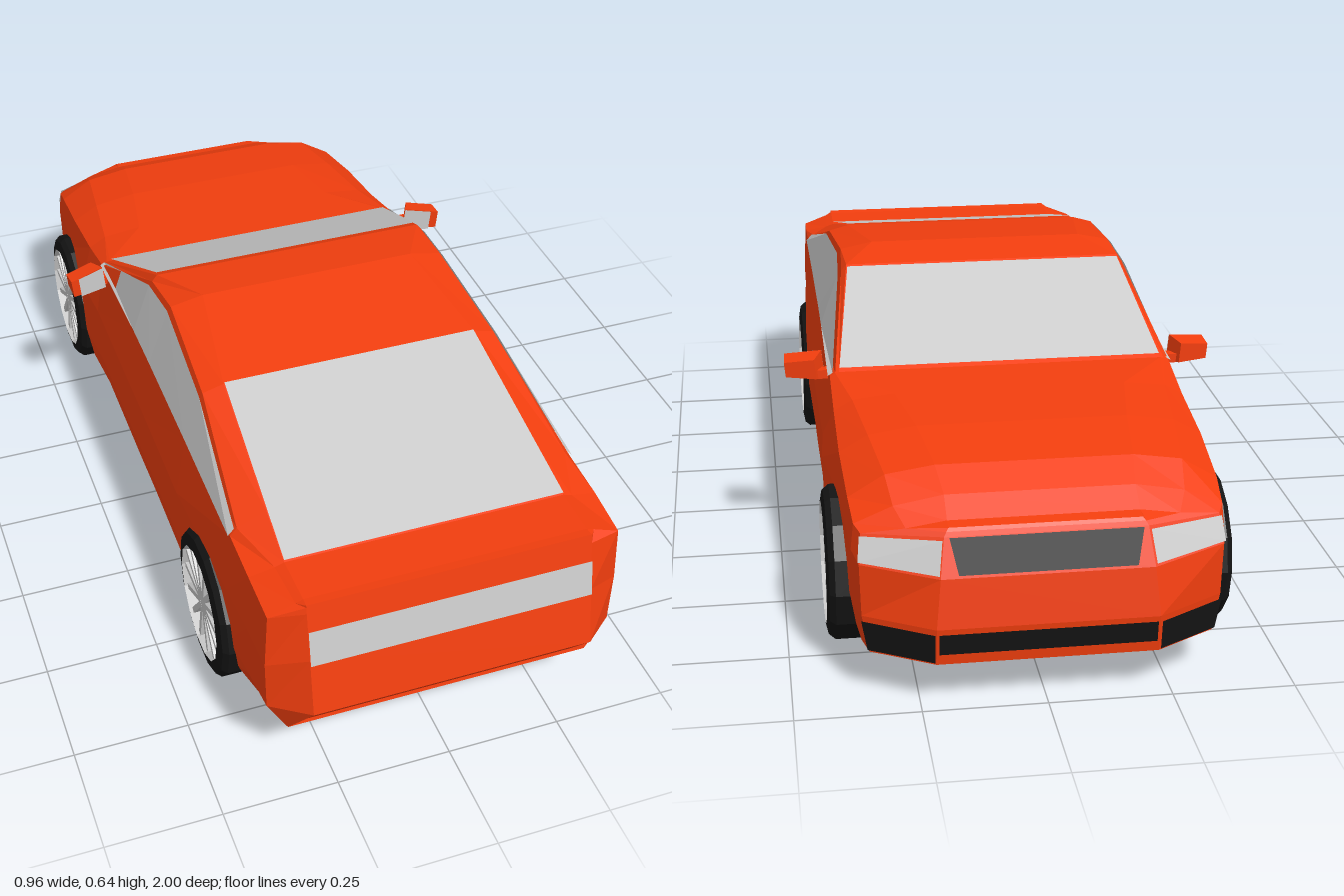
import * as THREE from 'three';

const mat = (color) => new THREE.MeshStandardMaterial({ color, flatShading: true, side: THREE.DoubleSide });
const paint = mat(0xf23e0e), black = mat(0x141414), grey = mat(0xcccccc);
const V = (x, y, z) => new THREE.Vector3(x, y, z);
const flip = (p) => V(-p.x, p.y, p.z);

// Half cross-section, floor to roof: lower points follow from the half width w,
// with the floor rising and narrowing behind the rear wheels
function section(z, w, beltY, edgeX, edgeY, topX, topY) {
  const rise = Math.max(0, z - 0.72) * 0.15;
  return [
    V(w - .017 - rise, .1 + rise, z), V(w - .003, .18 + rise, z), V(w, Math.min(.33, beltY - .055), z),
    V(Math.min(.38, w - .006), beltY, z), V(edgeX, edgeY, z), V(topX, topY, z),
  ];
}

// Stations along the car: z, half width, belt height, roof edge x and y, roof top x and y
const stations = [
  [0.93, .384, .46, .32, .482, .304, .488],
  [0.82, .386, .47, .325, .48, .305, .487],
  [0.70, .392, .475, .365, .492, .302, .521],
  [0.38, .405, .475, .337, .592, .29, .605],
  [0.10, .402, .475, .325, .625, .25, .64],
  [-0.03, .402, .475, .332, .61, .32, .625],
  [-0.34, .4, .465, .368, .472, .36, .474],
  [-0.47, .408, .435, .34, .458, .25, .468],
  [-0.64, .389, .41, .32, .445, .22, .46],
  [-0.80, .38, .38, .3, .425, .2, .44],
  [-0.87, .374, .355, .29, .388, .19, .406],
  [-0.92, .362, .345, .27, .362, .19, .374],
].map((s) => section(...s));
// Headlight corner sits further back than the bumper
stations[11][3].z += .025;

// Tail panel leans forward above its widest line and tucks under below it
const tailZ = (y) => (y < .23 ? .92 + (y - .13) * .8 : 1 - (y - .23) * .19);
const tail = [.13, .23, .36, .47, .485, .49].map((y) => V(.305, y, tailZ(y)));
// Nose: upright bumper, then a sloping grille face
const nose = [V(.22, .1, -.99), V(.22, .18, -1), V(.21, .28, -.985),
  V(.2, .355, -.955), V(.195, .364, -.951), V(.19, .37, -.945)];
const sections = [tail, ...stations, nose];

function meshFromQuads(name, quads, material) {
  const pos = [];
  for (const [a, b, c, d] of quads) for (const p of [a, b, c, a, c, d]) pos.push(p.x, p.y, p.z);
  const g = new THREE.BufferGeometry();
  g.setAttribute('position', new THREE.Float32BufferAttribute(pos, 3));
  g.computeVertexNormals();
  const m = new THREE.Mesh(g, material);
  m.name = name;
  return m;
}

// Closed body shell: rings joined lengthwise, then tail and nose faces
function createBody() {
  const rings = sections.map((s) => [...s, ...s.map(flip).reverse()]);
  const n = rings[0].length, quads = [];
  for (let i = 0; i < rings.length - 1; i++)
    for (let j = 0; j < n; j++) {
      const k = (j + 1) % n;
      quads.push([rings[i][j], rings[i + 1][j], rings[i + 1][k], rings[i][k]]);
    }
  for (let j = 0; j < tail.length - 1; j++) {
    quads.push([tail[j], tail[j + 1], flip(tail[j + 1]), flip(tail[j])]);
    quads.push([nose[j + 1], nose[j], flip(nose[j]), flip(nose[j + 1])]);
  }
  return meshFromQuads('body', quads, paint);
}

// Panel lying on the body between two rows of section points, lifted by an offset
function sidePanel(name, from, to, j, v0, v1, offset, material) {
  const at = (i, v) => sections[i][j].clone().lerp(sections[i][j + 1], v).add(offset);
  const quads = [];
  for (let i = from; i < to; i++) quads.push([at(i, v0), at(i + 1, v0), at(i + 1, v1), at(i, v1)]);
  return meshFromQuads(name, quads, material);
}

// Symmetric panel across the car: [half width, y, z] of the top and bottom edge
function crossPanel(name, top, bottom, material) {
  const a = V(...top), b = V(...bottom);
  return meshFromQuads(name, [[b, a, flip(a), flip(b)]], material);
}

function createWheel(name, r) {
  const wheel = new THREE.Group();
  wheel.name = name;
  const lathe = (part, pts, material) => {
    const g = new THREE.LatheGeometry(pts.map(([x, y]) => new THREE.Vector2(x, y)), 14);
    const m = new THREE.Mesh(g.rotateZ(-Math.PI / 2), material);
    m.name = part;
    wheel.add(m);
  };
  lathe('tyre', [[.125, -.06], [r - .012, -.065], [r, -.045], [r, .045], [r - .01, .057], [.13, .062]], black);
  lathe('rim', [[.13, .062], [.122, .035], [.02, .03], [0, .03]], grey);
  lathe('hub', [[.026, .03], [.022, .054], [0, .056]], grey);
  // Thin radial spokes
  for (let k = 0; k < 14; k++) {
    const spoke = new THREE.Mesh(new THREE.BoxGeometry(.02, .11, .013).translate(.045, .07, 0), grey);
    spoke.rotation.x = (k + .5) / 14 * Math.PI * 2;
    spoke.name = 'spoke';
    wheel.add(spoke);
  }
  return wheel;
}

function createMirror() {
  const mirror = new THREE.Group();
  mirror.name = 'wingMirror';
  // Housing tapers toward its outer end and its front
  const g = new THREE.BoxGeometry(.085, .06, .045);
  const p = g.attributes.position;
  for (let i = 0; i < p.count; i++) {
    if (p.getX(i) > 0) p.setY(i, p.getY(i) * .75 + .004);
    if (p.getZ(i) < 0) p.setXYZ(i, p.getX(i) * .8, p.getY(i) * .75, p.getZ(i));
  }
  const housing = new THREE.Mesh(g, paint);
  housing.name = 'mirrorHousing';
  const glass = meshFromQuads('mirrorGlass',
    [[V(-.042, -.029, .025), V(.024, -.024, .025), V(.024, .027, .025), V(-.042, .029, .025)]], grey);
  const head = new THREE.Group();
  head.name = 'mirrorHead';
  head.add(housing, glass);
  head.position.set(.438, .47, -.287);
  head.rotation.set(0, -.25, -.1);
  const stalk = new THREE.Mesh(new THREE.BoxGeometry(.05, .02, .025), paint);
  stalk.name = 'mirrorStalk';
  stalk.position.set(.39, .458, -.295);
  mirror.add(head, stalk);
  return mirror;
}

// Parts of the +x side, mirrored for the other
function createSide(name) {
  const side = new THREE.Group();
  side.name = name;
  side.add(
    sidePanel('sideWindow', 3, 7, 3, .04, .93, V(.005, .001, 0), grey),
    sidePanel('headlight', 12, 13, 2, .08, .92, V(.003, .002, -.005), grey),
    sidePanel('cornerIntake', 12, 13, 0, .08, .88, V(.003, 0, -.005), black),
  );
  const rear = createWheel('rearWheel', .168), front = createWheel('frontWheel', .164);
  rear.position.set(.353, .168, .565);
  front.position.set(.358, .17, -.652);
  side.add(rear, front, createMirror());
  return side;
}

export function createModel() {
  const car = new THREE.Group();
  car.name = 'car';
  const left = createSide('leftSide'), right = createSide('rightSide');
  right.scale.x = -1;
  car.add(
    createBody(), left, right,
    crossPanel('windscreen', [.318, .624, -.042], [.358, .482, -.335], grey),
    crossPanel('rearWindow', [.288, .609, .38], [.305, .493, .82], grey),
    crossPanel('rearLightPanel', [.305, .43, .966], [.305, .35, .981], grey),
    crossPanel('grille', [.19, .355, -.96], [.175, .287, -.987], black),
    crossPanel('lowerIntake', [.215, .17, -1.003], [.215, .125, -.998], black),
  );
  return car;
}
